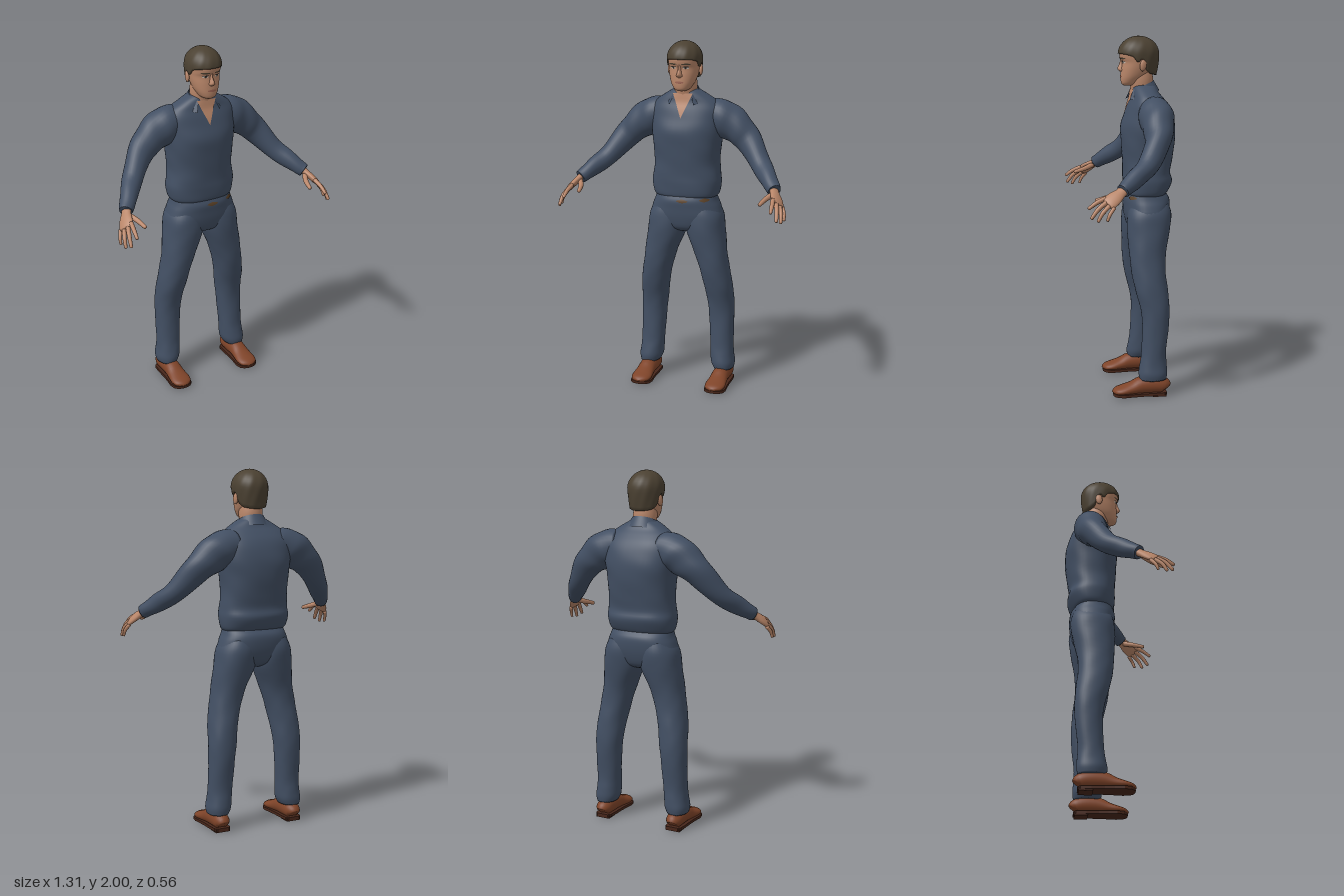
import * as THREE from 'three';

const mat = (name, color, side = THREE.FrontSide) => {
  const m = new THREE.MeshStandardMaterial({ color, side });
  m.name = name;
  return m;
};

// Catmull-Rom refinement of a table of rows
function refine(rows, k) {
  const out = [], at = i => rows[Math.min(Math.max(i, 0), rows.length - 1)];
  for (let i = 0; i < rows.length - 1; i++) {
    for (let s = 0; s < k; s++) {
      const t = s / k;
      out.push(at(i).map((b, c) => {
        const a = at(i - 1)[c], d = at(i + 1)[c], e = at(i + 2)[c];
        return b + 0.5 * t * (d - a + t * (2 * a - 5 * b + 4 * d - e + t * (3 * (b - d) + e - a)));
      }));
    }
  }
  out.push(at(rows.length - 1));
  return out;
}

// Closed skin through rings of points, with a fan cap at each end
function skin(rings) {
  const n = rings[0].length, m = rings.length, pos = [], idx = [];
  rings.forEach(r => r.forEach(p => pos.push(p.x, p.y, p.z)));
  for (const r of [rings[0], rings[m - 1]]) {
    const c = r.reduce((s, p) => s.add(p), new THREE.Vector3()).divideScalar(n);
    pos.push(c.x, c.y, c.z);
  }
  for (let i = 0; i < n; i++) {
    const k = (i + 1) % n, top = (m - 1) * n;
    for (let j = 0; j < m - 1; j++) {
      const a = j * n + i, b = j * n + k;
      idx.push(a, a + n, b, b, a + n, b + n);
    }
    idx.push(m * n, i, k, m * n + 1, top + k, top + i);
  }
  const g = new THREE.BufferGeometry();
  g.setAttribute('position', new THREE.Float32BufferAttribute(pos, 3));
  g.setIndex(idx);
  g.computeVertexNormals();
  return g;
}

const bend = (v, p) => Math.sign(v) * Math.pow(Math.abs(v), 2 / p);

// Upright body from rows [y, halfWidth, zFront, zBack, xCentre]; fold ripples the cloth
function body(rows, p = 2.3, fold = 0, n = 48) {
  return skin(rows.map(([y, w, f, b, x = 0]) => Array.from({ length: n }, (_, i) => {
    const a = i / n * Math.PI * 2;
    const r = 1 + fold * (Math.sin(3 * a + y * 31) + Math.sin(5 * a - y * 47));
    return new THREE.Vector3(x + w * r * bend(Math.cos(a), p), y, (f + b) / 2 + (f - b) / 2 * r * bend(Math.sin(a), p));
  })));
}

// Limb along rows [x, y, z, radiusU, radiusV]; u is the direction of radiusU
function limb(rows, u, n = 24, fold = 0) {
  const c = rows.map(r => new THREE.Vector3(r[0], r[1], r[2]));
  return skin(rows.map((r, j) => {
    const t = c[Math.min(j + 1, c.length - 1)].clone().sub(c[Math.max(j - 1, 0)]).normalize();
    const U = u.clone().addScaledVector(t, -u.dot(t)).normalize(), V = U.clone().cross(t);
    return Array.from({ length: n }, (_, i) => {
      const a = i / n * Math.PI * 2, k = 1 + fold * Math.sin(2 * a + j * 0.9);
      return c[j].clone().addScaledVector(U, r[3] * k * Math.cos(a)).addScaledVector(V, r[4] * k * Math.sin(a));
    });
  }));
}

// Thin patch lying on the front of an upright body
function patch(rows, p, x0, y0, y1, width, lift) {
  const g = new THREE.PlaneGeometry(2, 1, 10, 10), q = g.attributes.position;
  for (let i = 0; i < q.count; i++) {
    const v = q.getY(i) + 0.5, y = y0 + (y1 - y0) * v, x = x0 + q.getX(i) * width(v);
    let j = 0;
    while (j < rows.length - 2 && rows[j + 1][0] < y) j++;
    const t = (y - rows[j][0]) / (rows[j + 1][0] - rows[j][0]);
    const [, w, f, b] = rows[j].map((s, k) => s + (rows[j + 1][k] - s) * t);
    const d = Math.pow(Math.max(0, 1 - Math.pow(Math.abs(x / w), p)), 1 / p);
    q.setXYZ(i, x, y, (f + b) / 2 + (f - b) / 2 * d + lift);
  }
  g.computeVertexNormals();
  return g;
}

function flip(g) {
  const m = g.clone().scale(-1, 1, 1), ix = m.index;
  for (let i = 0; i < ix.count; i += 3) {
    const a = ix.getX(i);
    ix.setX(i, ix.getX(i + 1));
    ix.setX(i + 1, a);
  }
  return m;
}

export function createModel() {
  const model = new THREE.Group();
  const cloth = mat('navyCloth', 0x424f63, THREE.DoubleSide), flesh = mat('skin', 0xb98669);
  const hairMat = mat('brownHair', 0x4b4132, THREE.DoubleSide), leather = mat('shoeLeather', 0x7f4429);
  const soleMat = mat('darkSole', 0x47261a), white = mat('eyeWhite', 0xc9bdb2);
  const dark = mat('eyeDark', 0x2c2622), lip = mat('lips', 0x9c6453), brass = mat('beltBrown', 0x5c4228);
  const add = (name, g, m) => {
    const mesh = new THREE.Mesh(g, m);
    mesh.name = name;
    model.add(mesh);
  };
  const pair = (name, g, m) => {
    add(name + 'Left', g, m);
    add(name + 'Right', flip(g), m);
  };

  // Shirt with a loose overhang at the waist
  const torso = refine([[1.12, .172, -.005, -.215], [1.14, .19, .005, -.235], [1.2, .2, .01, -.26],
    [1.25, .195, .01, -.25], [1.32, .188, .012, -.262], [1.42, .195, .02, -.275], [1.5, .205, .02, -.278],
    [1.57, .21, .0, -.262], [1.62, .205, -.015, -.24], [1.66, .18, -.03, -.21], [1.69, .14, -.035, -.185],
    [1.72, .09, -.04, -.17], [1.735, .06, -.05, -.16]], 4);
  add('shirt', body(torso, 2.4, .005), cloth);
  add('openNeck', patch(torso, 2.4, 0, 1.575, 1.71, v => .058 * v, .006), flesh);

  // Collar folded over around the neck
  const collar = new THREE.PlaneGeometry(2, 1, 32, 3), cp = collar.attributes.position;
  for (let i = 0; i < cp.count; i++) {
    const a = cp.getX(i) * (Math.PI - .72), v = .5 - cp.getY(i), drop = (1 - Math.cos(a)) / 2;
    const r = .073 + .032 * v;
    cp.setXYZ(i, r * Math.sin(a), 1.757 - .055 * v - (.055 + .005 * v) * drop, -.09 - (r - .004) * Math.cos(a));
  }
  collar.computeVertexNormals();
  add('collar', collar, cloth);

  // Sleeves
  const across = new THREE.Vector3(.5, .8, -.2);
  pair('sleeve', limb(refine([[.12, 1.59, -.14, .085, .085], [.19, 1.575, -.14, .1, .095], [.25, 1.545, -.14, .1, .09],
    [.31, 1.5, -.135, .087, .08], [.37, 1.44, -.118, .073, .067], [.45, 1.338, -.055, .058, .056],
    [.51, 1.28, .02, .05, .049], [.555, 1.238, .078, .041, .04], [.57, 1.224, .097, .037, .036]], 4), across, 28, .025), cloth);

  // Hands
  const knuckleLine = new THREE.Vector3(-.045, .04, .04);
  pair('palm', limb(refine([[.556, 1.237, .08, .028, .022], [.575, 1.215, .11, .03, .019], [.592, 1.195, .14, .04, .018],
    [.605, 1.176, .168, .043, .016], [.612, 1.166, .184, .037, .011]], 3), knuckleLine, 20), flesh);
  const fingers = {
    thumb: [[.565, 1.208, .115], [.538, 1.19, .165], [.523, 1.172, .23], .014],
    indexFinger: [[.584, 1.193, .185], [.592, 1.172, .235], [.596, 1.142, .278], .0115],
    middleFinger: [[.602, 1.176, .183], [.618, 1.143, .23], [.626, 1.096, .267], .0118],
    ringFinger: [[.617, 1.162, .168], [.636, 1.125, .21], [.642, 1.082, .235], .011],
    littleFinger: [[.629, 1.15, .15], [.645, 1.117, .175], [.648, 1.085, .188], .0095],
  };
  for (const [name, [a, b, c, r]] of Object.entries(fingers)) {
    const tip = c.map((v, i) => v + (c[i] - b[i]) * .06);
    pair(name, limb([...refine([[...a, r * 1.1, r * 1.1], [...b, r, r], [...c, r * .75, r * .75]], 4),
      [...tip, r * .35, r * .35]], knuckleLine, 12), flesh);
  }

  // Trousers: hips and two legs
  const hips = refine([[.915, .07, -.06, -.17], [.94, .14, -.015, -.215], [1.0, .208, .003, -.238], [1.06, .2, .008, -.248],
    [1.1, .184, .01, -.245], [1.13, .175, 0, -.225], [1.16, .165, -.01, -.21]], 4);
  add('hips', body(hips, 2.4, .002), cloth);
  pair('leg', body(refine([[.095, .057, -.05, -.2, .228], [.13, .068, -.045, -.206, .223], [.18, .067, -.052, -.203, .217],
    [.25, .067, -.062, -.2, .213], [.4, .072, -.068, -.216, .208], [.5, .077, -.058, -.22, .202], [.6, .081, -.03, -.212, .191],
    [.7, .085, -.012, -.203, .172], [.8, .094, -.003, -.207, .148], [.93, .113, .004, -.235, .114],
    [1.02, .108, 0, -.243, .106], [1.08, .08, -.02, -.23, .1]], 4), 2.2, .007, 36), cloth);
  [[.012, 1.105, .034], [.135, 1.113, .026]].forEach(([x, y, w], i) =>
    add('beltGlimpse' + i, patch(hips, 2.4, x, y - .011, y + .011, v => w * Math.sin(Math.PI * v), .005), brass));

  // Shoes: upper lofted heel to toe, flat sole and heel block
  const shoe = [[-.2, .03, .075], [-.185, .044, .1], [-.13, .048, .115], [-.06, .049, .11], [-.01, .053, .085],
    [.04, .059, .066], [.075, .052, .055], [.092, .035, .045], [.1, .012, .034]];
  pair('shoeUpper', limb(refine(shoe.map(([z, w, h]) => [.226, (h + .012) / 2, z, w, (h - .012) / 2]), 3),
    new THREE.Vector3(1, 0, 0), 28), leather);
  const outline = new THREE.Shape([...shoe.map(([z, w]) => new THREE.Vector2(w + .004, -z)),
    ...shoe.map(([z, w]) => new THREE.Vector2(-w - .004, -z)).reverse()]);
  const sole = new THREE.ExtrudeGeometry(outline, { depth: .016, bevelEnabled: false });
  sole.rotateX(-Math.PI / 2).translate(.226, .008, 0);
  sole.setIndex([...Array(sole.attributes.position.count).keys()]);
  pair('shoeSole', sole, soleMat);
  pair('shoeHeel', new THREE.BoxGeometry(.086, .02, .075).translate(.226, .01, -.158), soleMat);

  // Neck and head
  add('neck', body(refine([[1.6, .055, -.05, -.15], [1.7, .063, -.032, -.152], [1.76, .066, -.022, -.157],
    [1.81, .06, -.02, -.15]], 4), 2), flesh);
  const head = refine([[1.727, .022, .006, -.05], [1.738, .043, .02, -.08], [1.76, .058, .024, -.1], [1.785, .07, .024, -.125],
    [1.82, .08, .022, -.15], [1.855, .086, .019, -.17], [1.878, .088, .028, -.18], [1.91, .088, .03, -.18],
    [1.95, .07, .01, -.16], [1.975, .04, -.03, -.12]], 4);
  add('head', body(head, 2.2), flesh);
  add('nose', body(refine([[1.802, .011, .024, -.01], [1.812, .019, .038, -.01], [1.824, .015, .043, -.01],
    [1.85, .01, .031, -.01], [1.878, .011, .026, -.01]], 3), 1.8, 0, 20), flesh);
  pair('ear', new THREE.SphereGeometry(1, 16, 12).scale(.011, .033, .02).rotateX(-.2).rotateY(.25)
    .translate(.09, 1.842, -.088), flesh);
  const lens = w => v => w * Math.sqrt(Math.sin(Math.PI * Math.min(Math.max(v, 0), 1)));
  pair('eyeWhite', patch(head, 2.2, .036, 1.85, 1.862, lens(.016), .002), white);
  pair('iris', patch(head, 2.2, .035, 1.85, 1.862, lens(.006), .004), dark);
  pair('eyelid', patch(head, 2.2, .036, 1.86, 1.865, lens(.019), .004), dark);
  pair('eyebrow', patch(head, 2.2, .038, 1.873, 1.882, lens(.024), .003), hairMat);
  add('mouth', patch(head, 2.2, 0, 1.77, 1.784, lens(.025), .003), lip);

  // Hair cap: lower edge is high over the brow, low at the nape
  const edge = [[-1, 1.785], [-.6, 1.795], [-.32, 1.815], [-.15, 1.872], [0, 1.874], [.08, 1.86], [.22, 1.862],
    [.34, 1.888], [.7, 1.9], [1, 1.903]];
  const rings = [];
  for (let j = 0; j <= 18; j++) {
    rings.push(Array.from({ length: 64 }, (_, i) => {
      const a = i / 64 * Math.PI * 2, s = Math.sin(a);
      let k = 0;
      while (k < edge.length - 2 && edge[k + 1][0] < s) k++;
      const low = edge[k][1] + (edge[k + 1][1] - edge[k][1]) * (s - edge[k][0]) / (edge[k + 1][0] - edge[k][0]);
      const t = Math.max(0, j - 1) / 17, y = low + (2 - low) * Math.sin(t * Math.PI / 2);
      let r = y > 1.9 ? Math.sqrt(Math.max(0, 1 - ((y - 1.9) / .1) ** 2)) : 1 - .14 * ((1.9 - y) / .115) ** 1.5;
      r = Math.max(r, .01) * (j === 0 ? .86 : 1 + .008 * Math.sin(a * 11 + y * 40));
      return new THREE.Vector3(.098 * r * bend(Math.cos(a), 2.1), y, -.076 + .115 * r * bend(s, 2.1));
    }));
  }
  add('hair', skin(rings), hairMat);

  return model;
}
